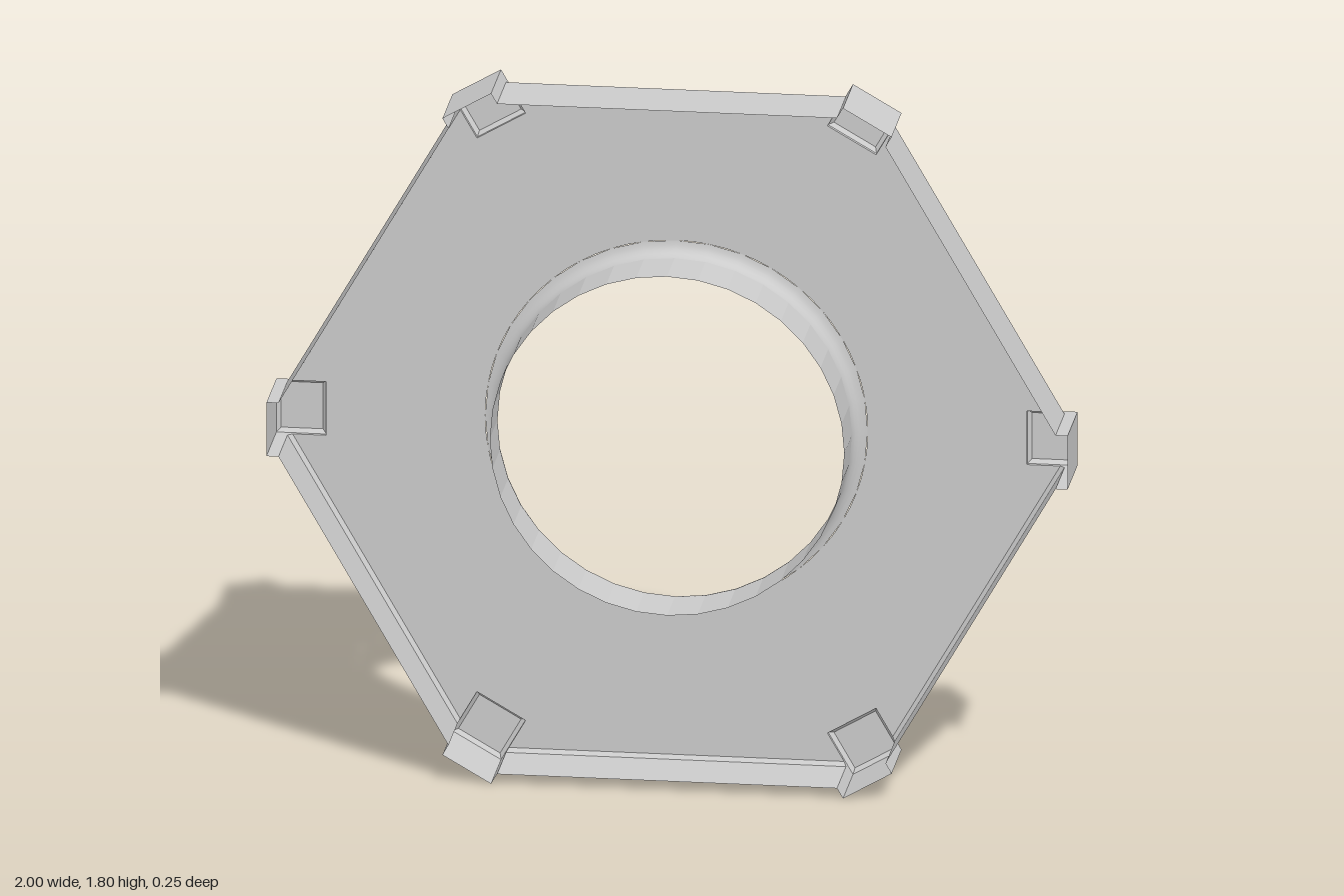
import * as THREE from 'three';

const FRONT = 0.1, PLATE = -0.08, CLIP_BACK = -0.1, CH = 0.01; // depths and edge bevel
const APOTHEM = 0.875, HALF = 0.07, CLIP_IN = 0.875, CLIP_OUT = 1.0;
const HOLE = 0.4425, FILLET = 0.035, SEGMENTS = 36;

const material = new THREE.MeshStandardMaterial({ color: 0xcccccc, side: THREE.DoubleSide });
const flat = new THREE.MeshStandardMaterial({ color: 0xcccccc, side: THREE.DoubleSide, flatShading: true });

function addMesh(parent, name, geometry, mat = flat) {
  const mesh = new THREE.Mesh(geometry, mat);
  mesh.name = name;
  parent.add(mesh);
  return mesh;
}

// Flat-shaded surface from quads, each given as four [x, y, z] corners
function quads(list) {
  const pos = [];
  for (const [a, b, c, d] of list) pos.push(...a, ...b, ...c, ...a, ...c, ...d);
  const g = new THREE.BufferGeometry();
  g.setAttribute('position', new THREE.Float32BufferAttribute(pos, 3));
  g.computeVertexNormals();
  return g;
}

// Point at radial distance u and sideways offset v from the corner direction i
function corner(i, u, v) {
  const a = (i * Math.PI) / 3;
  return [u * Math.cos(a) - v * Math.sin(a), u * Math.sin(a) + v * Math.cos(a)];
}

// Radial distance at which a hexagon side meets the flank of a clip
const meet = (apothem) => apothem / Math.cos(Math.PI / 6) - HALF * Math.tan(Math.PI / 6);

export function createModel() {
  const model = new THREE.Group();
  model.name = 'hexagonalRing';
  const uWall = meet(APOTHEM), uPlate = meet(APOTHEM - CH);

  // Back plate, notched at the corners, with a round opening
  const outline = [];
  for (let i = 0; i < 6; i++) {
    for (const [u, v] of [[uPlate, -HALF], [CLIP_IN, -HALF], [CLIP_IN, HALF], [uPlate, HALF]]) {
      outline.push(new THREE.Vector2(...corner(i, u, v)));
    }
  }
  const plate = new THREE.Shape(outline);
  const opening = new THREE.Path();
  opening.absarc(0, 0, HOLE + FILLET, 0, Math.PI * 2, true);
  plate.holes.push(opening);
  const plateGeometry = new THREE.ShapeGeometry(plate, SEGMENTS);
  plateGeometry.translate(0, 0, PLATE);
  addMesh(model, 'backPlate', plateGeometry);

  // Thin outer walls, open at the front, bevelled into the plate
  const walls = [];
  for (let i = 0; i < 6; i++) {
    const p = corner(i, uWall, HALF), q = corner(i + 1, uWall, -HALF);
    const pi = corner(i, uPlate, HALF), qi = corner(i + 1, uPlate, -HALF);
    const z = PLATE + CH;
    walls.push([[...p, z], [...q, z], [...q, FRONT], [...p, FRONT]]);
    walls.push([[...pi, PLATE], [...qi, PLATE], [...q, z], [...p, z]]);
  }
  addMesh(model, 'outerWall', quads(walls));

  // Rounded lip and faceted sleeve of the central hole
  const lip = [];
  for (let k = 0; k <= 5; k++) {
    const t = (k / 5) * Math.PI / 2;
    lip.push(new THREE.Vector2(HOLE + FILLET * (1 - Math.sin(t)), PLATE + FILLET * (1 - Math.cos(t))));
  }
  const sleeve = [new THREE.Vector2(HOLE, PLATE + FILLET), new THREE.Vector2(HOLE, FRONT)];
  const lipMesh = addMesh(model, 'holeLip', new THREE.LatheGeometry(lip, SEGMENTS), material);
  const sleeveMesh = addMesh(model, 'holeSleeve', new THREE.LatheGeometry(sleeve, SEGMENTS), flat);
  for (const m of [lipMesh, sleeveMesh]) {
    m.geometry.rotateY(Math.PI / 2);
    m.geometry.rotateX(Math.PI / 2);
  }

  // Hollow corner clips, open at the front and raised behind the plate
  const zc = CLIP_BACK + CH;
  for (let i = 0; i < 6; i++) {
    const P = (u, v, z) => [...corner(i, u, v), z];
    const rim = [[CLIP_IN, -HALF], [CLIP_OUT, -HALF], [CLIP_OUT, HALF], [CLIP_IN, HALF]];
    const cap = [
      [CLIP_IN + CH, -HALF + CH], [CLIP_OUT - CH, -HALF + CH],
      [CLIP_OUT - CH, HALF - CH], [CLIP_IN + CH, HALF - CH],
    ];
    const faces = [cap.map(([u, v]) => P(u, v, CLIP_BACK)).reverse()];
    for (let k = 0; k < 4; k++) {
      const n = (k + 1) % 4;
      faces.push([P(...cap[k], CLIP_BACK), P(...cap[n], CLIP_BACK), P(...rim[n], zc), P(...rim[k], zc)]);
    }
    // Outer end, then the low step on the inner end
    faces.push([P(CLIP_OUT, -HALF, zc), P(CLIP_OUT, HALF, zc), P(CLIP_OUT, HALF, FRONT), P(CLIP_OUT, -HALF, FRONT)]);
    faces.push([P(CLIP_IN, HALF, zc), P(CLIP_IN, -HALF, zc), P(CLIP_IN, -HALF, PLATE), P(CLIP_IN, HALF, PLATE)]);
    // Flanks: low step over the plate, bevel gap, full height outside the wall
    for (const v of [-HALF, HALF]) {
      const flank = [
        [P(CLIP_IN, v, zc), P(uPlate, v, zc), P(uPlate, v, PLATE), P(CLIP_IN, v, PLATE)],
        [P(uPlate, v, zc), P(uWall, v, zc), P(uWall, v, PLATE + CH), P(uPlate, v, PLATE)],
        [P(uWall, v, zc), P(CLIP_OUT, v, zc), P(CLIP_OUT, v, FRONT), P(uWall, v, FRONT)],
      ];
      for (const f of flank) faces.push(v < 0 ? f : f.reverse());
    }
    addMesh(model, 'cornerClip' + (i + 1), quads(faces));
  }

  // Stand upright with a slight turn
  model.rotation.y = -0.0275;
  model.position.y = CLIP_OUT * Math.sin(Math.PI / 3) + HALF * 0.5;
  return model;
}
